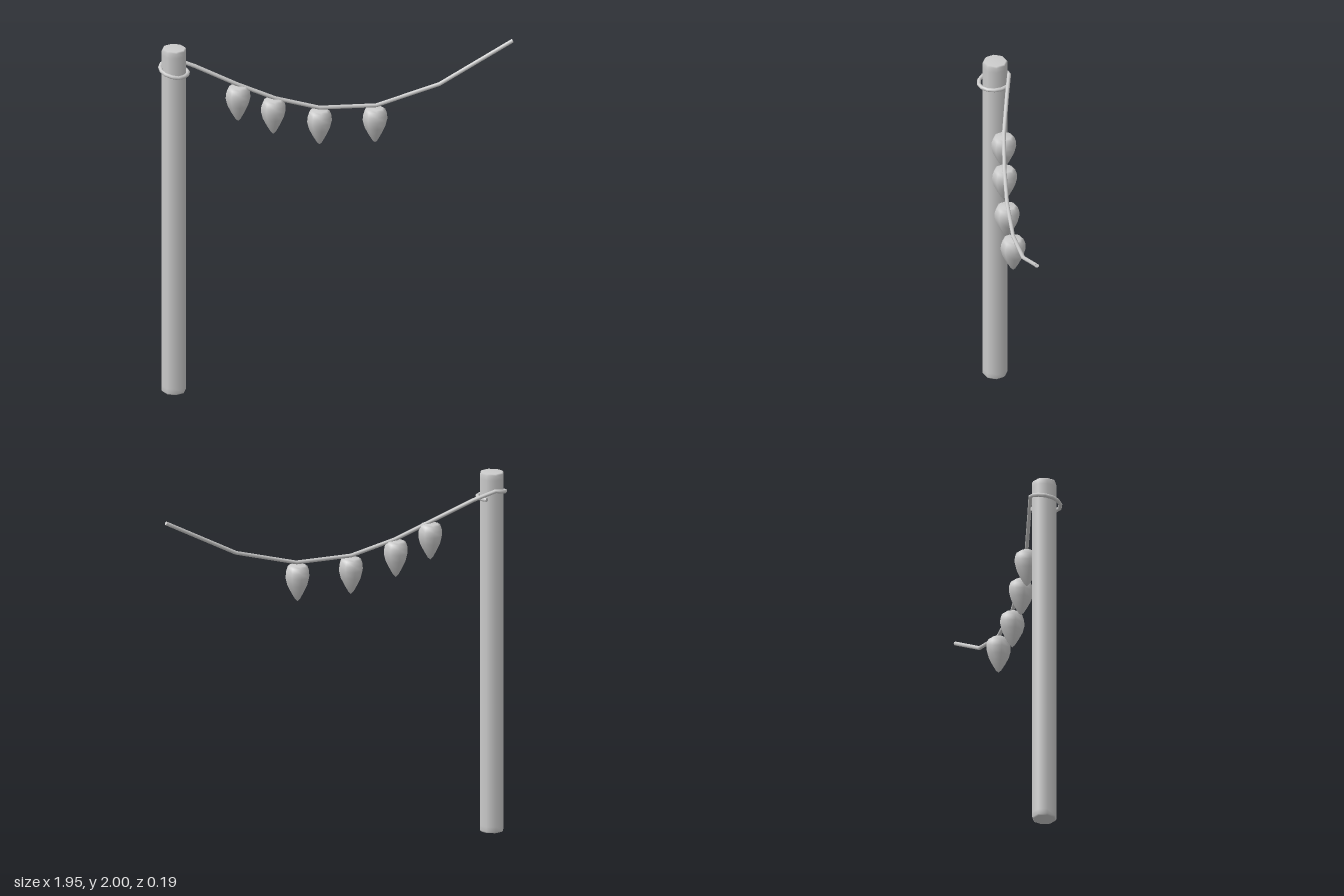
import * as THREE from 'three';

const material = new THREE.MeshStandardMaterial({ color: 0xcccccc });

// Polyline curve whose tube rings fall exactly on the given points
class Polyline extends THREE.Curve {
  constructor(points) { super(); this.points = points; }
  getPoint(t, target = new THREE.Vector3()) {
    const n = this.points.length - 1;
    const i = Math.min(Math.floor(t * n + 1e-9), n - 1);
    return target.lerpVectors(this.points[i], this.points[i + 1], t * n - i);
  }
  getPointAt(t, target) { return this.getPoint(t, target); }
  getTangentAt(t, target) { return this.getTangent(t, target); }
}

// Eight-sided turned form from [radius, height] pairs, bottom to top
function turned(name, profile) {
  const points = profile.map(([r, y]) => new THREE.Vector2(r, y));
  const mesh = new THREE.Mesh(new THREE.LatheGeometry(points, 8), material);
  mesh.name = name;
  return mesh;
}

export function createModel() {
  const group = new THREE.Group();
  group.name = 'stringLights';

  // Post
  const R = 0.067;
  const post = turned('post', [[0, 0], [R - 0.006, 0], [R, 0.008], [R, 0.035], [R, 1.965], [R, 1.992], [R - 0.006, 2], [0, 2]]);
  post.position.set(-0.893, 0, -0.009);
  group.add(post);

  // Rope: one turn round the post, then a sagging span
  const rope = [];
  for (let i = 0; i <= 12; i++) {
    const a = THREE.MathUtils.degToRad(-50 + i * 27);
    const rise = Math.max(0, (i - 5) / 7);
    rope.push(new THREE.Vector3(-0.893 + 0.075 * Math.cos(a), 1.86 + 0.05 * rise, -0.003 + 0.082 * Math.sin(a)));
  }
  const span = [
    [-0.77, 1.865, -0.06], [-0.54, 1.755, -0.015], [-0.34, 1.667, 0.006], [-0.1, 1.597, 0.02],
    [0.21, 1.586, 0.024], [0.56, 1.675, 0.012], [0.968, 1.883, -0.014],
  ];
  span.forEach((p) => rope.push(new THREE.Vector3(...p)));
  const ropeMesh = new THREE.Mesh(new THREE.TubeGeometry(new Polyline(rope), rope.length - 1, 0.011, 8), material);
  ropeMesh.name = 'rope';
  group.add(ropeMesh);

  // Rope ends
  for (const [end, next] of [[rope[0], rope[1]], [rope.at(-1), rope.at(-2)]]) {
    const cap = new THREE.Mesh(new THREE.CircleGeometry(0.011, 8), material);
    cap.name = 'ropeEnd';
    cap.position.copy(end);
    cap.lookAt(end.clone().multiplyScalar(2).sub(next));
    group.add(cap);
  }

  // Hanging bulbs
  const bulbProfile = [
    [0, -0.205], [0.015, -0.19], [0.038, -0.15], [0.058, -0.11], [0.068, -0.07],
    [0.066, -0.04], [0.057, -0.014], [0.044, -0.004], [0, 0],
  ];
  const bulbs = [[-0.54, 1.748, -0.014], [-0.35, 1.664, 0.004], [-0.1, 1.588, 0.021], [0.204, 1.575, 0.024]];
  for (const position of bulbs) {
    const bulb = turned('bulb', bulbProfile);
    bulb.position.set(...position);
    group.add(bulb);
  }

  return group;
}
